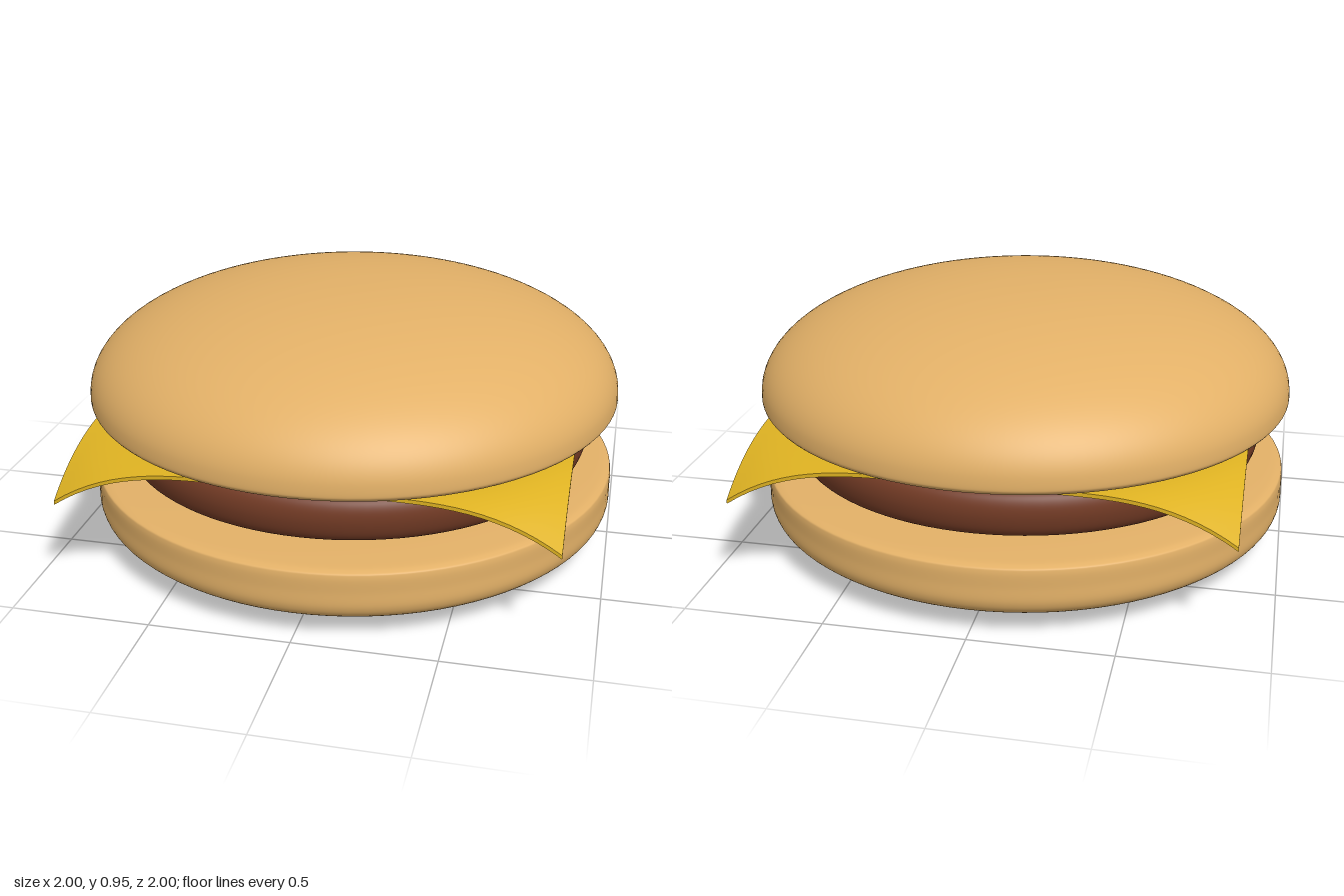
import * as THREE from 'three';

const bunMaterial = new THREE.MeshStandardMaterial({ color: 0xe2b067 });
const pattyMaterial = new THREE.MeshStandardMaterial({ color: 0x733b25 });
const cheeseMaterial = new THREE.MeshStandardMaterial({ color: 0xdeb222 });

// Smooth round part from a few profile points, listed bottom to top
function roundPart(name, points, material) {
  const curve = new THREE.SplineCurve(points.map(([r, y]) => new THREE.Vector2(r, y)));
  const profile = curve.getPoints(points.length * 6);
  profile.forEach((p) => { p.x = Math.max(p.x, 0); });
  const mesh = new THREE.Mesh(new THREE.LatheGeometry(profile, 96), material);
  mesh.name = name;
  return mesh;
}

// Thin square slice whose corners droop with distance from the centre
function cheeseSlice() {
  const geometry = new THREE.BoxGeometry(1.74, 0.014, 1.74, 40, 1, 40);
  const pos = geometry.attributes.position;
  for (let i = 0; i < pos.count; i++) {
    const r = Math.hypot(pos.getX(i), pos.getZ(i));
    const t = Math.max(0, (r - 0.92) / 0.31);
    pos.setY(i, pos.getY(i) + 0.505 - 0.145 * Math.pow(t, 2.1));
  }
  geometry.computeVertexNormals();
  const mesh = new THREE.Mesh(geometry, cheeseMaterial);
  mesh.name = 'cheeseSlice';
  return mesh;
}

export function createModel() {
  const group = new THREE.Group();
  group.name = 'burger';

  group.add(roundPart('bottomBun', [
    [0, 0], [0.3, 0.006], [0.6, 0.018], [0.8, 0.038], [0.91, 0.065], [0.97, 0.1],
    [0.993, 0.14], [0.994, 0.2], [0.993, 0.255], [0.98, 0.272], [0.92, 0.28],
    [0.7, 0.288], [0.35, 0.291], [0, 0.292],
  ], bunMaterial));

  group.add(roundPart('patty', [
    [0, 0.297], [0.4, 0.298], [0.75, 0.302], [0.84, 0.315], [0.88, 0.345], [0.897, 0.4],
    [0.893, 0.45], [0.87, 0.482], [0.82, 0.493], [0.5, 0.496], [0, 0.496],
  ], pattyMaterial));

  group.add(cheeseSlice());

  // Domed bun with a tight lower rim
  const dome = [];
  for (let i = 0; i <= 16; i++) {
    const a = (i / 16) * Math.PI / 2;
    dome.push([Math.pow(Math.max(Math.cos(a), 0), 0.93), 0.56 + 0.39 * Math.pow(Math.sin(a), 0.95)]);
  }
  dome[16][0] = 0;
  group.add(roundPart('topBun', [
    [0, 0.514], [0.4, 0.514], [0.8, 0.515], [0.92, 0.519], [0.975, 0.529], [0.995, 0.543],
    ...dome,
  ], bunMaterial));

  return group;
}
